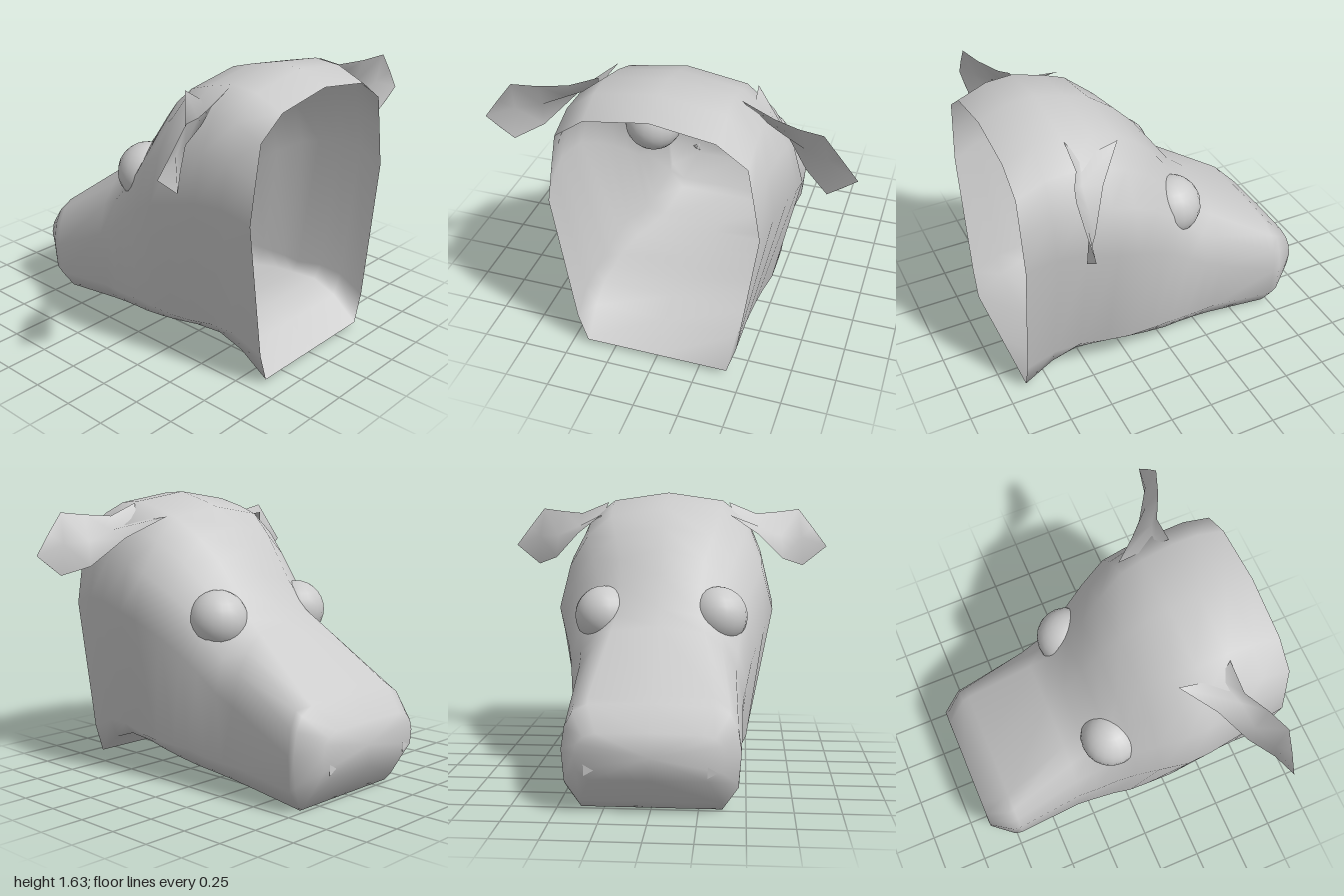
import * as THREE from 'three';

const material = new THREE.MeshStandardMaterial({ color: 0xcccccc, side: THREE.DoubleSide });

function meshFrom(name, positions, index) {
  const geometry = new THREE.BufferGeometry();
  geometry.setAttribute('position', new THREE.Float32BufferAttribute(positions, 3));
  geometry.setIndex(index);
  geometry.computeVertexNormals();
  const mesh = new THREE.Mesh(geometry, material);
  mesh.name = name;
  return mesh;
}

// Half cross-sections as fractions [of half width, of height], crown to throat
const muzzle = [[0, 1], [0.7, 0.98], [0.87, 0.9], [0.96, 0.75], [1, 0.52], [0.97, 0.2], [0.79, 0]];
const brow = [[0, 1], [0.44, 0.95], [0.67, 0.84], [0.88, 0.73], [1, 0.54], [0.9, 0.09], [0.77, 0]];
const skull = [[0, 1], [0.52, 0.966], [0.75, 0.88], [0.9, 0.75], [1, 0.565], [0.75, 0.035], [0.66, 0]];
const neck = [[0, 1], [0.6, 0.965], [0.88, 0.89], [0.94, 0.76], [1, 0.62], [0.81, 0.11], [0.72, 0]];
const shapes = [muzzle, brow, skull, neck];

// Stations from nose to neck: x, top, bottom, half width, place along the shapes
const stations = [
  [-0.885, 0.45, 0.2, 0.39, 0],
  [-0.76, 0.58, 0.05, 0.475, 0],
  [-0.72, 0.61, 0.005, 0.475, 0],
  [-0.33, 0.92, 0.055, 0.48, 0.6],
  [-0.22, 1.01, 0.075, 0.5, 0.85],
  [-0.1, 1.18, 0.095, 0.525, 1],
  [0, 1.32, 0.115, 0.555, 1],
  [0.12, 1.445, 0.135, 0.6, 1.4],
  [0.27, 1.555, 0.165, 0.65, 1.8],
  [0.4, 1.595, 0.185, 0.65, 2],
  [0.57, 1.64, 0.2, 0.635, 2.2],
  [0.72, 1.63, 0.15, 0.605, 2.6],
  [0.885, 1.565, 0.03, 0.57, 3],
];

// Open-necked head shell with a closed nose
function createHead() {
  const positions = [], index = [];
  const ring = 14;
  for (const [x, top, bottom, width, place] of stations) {
    const k = Math.min(Math.floor(place), shapes.length - 2);
    const half = shapes[k].map(([z, y], j) => [
      width * THREE.MathUtils.lerp(z, shapes[k + 1][j][0], place - k),
      bottom + (top - bottom) * THREE.MathUtils.lerp(y, shapes[k + 1][j][1], place - k),
    ]);
    const mirrored = half.slice(1).reverse().map(([z, y]) => [-z, y]);
    for (const [z, y] of [...half, [0, bottom], ...mirrored]) positions.push(x, y, z);
  }
  for (let i = 0; i < stations.length - 1; i++) {
    for (let j = 0; j < ring; j++) {
      const a = i * ring + j, b = i * ring + (j + 1) % ring;
      index.push(a, b, a + ring, b, b + ring, a + ring);
    }
  }
  const tip = positions.length / 3;
  positions.push(-0.885, 0.32, 0);
  for (let j = 0; j < ring; j++) index.push(tip, (j + 1) % ring, j);
  return meshFrom('head', positions, index);
}

// Cupped leaf: rows of back edge, hollow and front edge, narrowing to the tip
function createEar(side) {
  const rows = [
    [[0.57, 1.58, 0.38], [0.5, 1.48, 0.42], [0.28, 1.51, 0.39]],
    [[0.58, 1.51, 0.55], [0.56, 1.43, 0.57], [0.44, 1.39, 0.56]],
    [[0.65, 1.52, 0.69], [0.585, 1.37, 0.71], [0.56, 1.23, 0.72]],
    [[0.695, 1.535, 0.82], [0.645, 1.36, 0.84], [0.665, 1.18, 0.85]],
    [[0.69, 1.42, 0.91], [0.68, 1.3, 1], [0.675, 1.24, 0.925]],
  ];
  const positions = rows.flat().flatMap(([x, y, z]) => [x, y, z * side]);
  const index = [];
  for (let i = 0; i < rows.length - 1; i++) {
    for (let j = 0; j < 2; j++) {
      const a = i * 3 + j, b = a + 1, c = a + 3, d = a + 4;
      if (side > 0) index.push(a, b, c, b, d, c);
      else index.push(a, c, b, b, c, d);
    }
  }
  return meshFrom(side > 0 ? 'leftEar' : 'rightEar', positions, index);
}

export function createModel() {
  const group = new THREE.Group();
  group.name = 'animalHead';
  group.add(createHead());
  for (const side of [1, -1]) {
    const prefix = side > 0 ? 'left' : 'right';
    group.add(createEar(side));

    // Eyeball half sunk into the brow
    const eye = new THREE.Mesh(new THREE.SphereGeometry(0.17, 20, 14), material);
    eye.name = prefix + 'Eye';
    eye.position.set(-0.07, 0.945, side * 0.33);
    group.add(eye);

    // Small three-sided nostril
    const nostril = new THREE.Mesh(new THREE.ConeGeometry(0.035, 0.03, 3), material);
    nostril.name = prefix + 'Nostril';
    nostril.rotation.z = -Math.PI / 2;
    nostril.position.set(-0.873, 0.25, side * 0.32);
    group.add(nostril);
  }
  return group;
}
